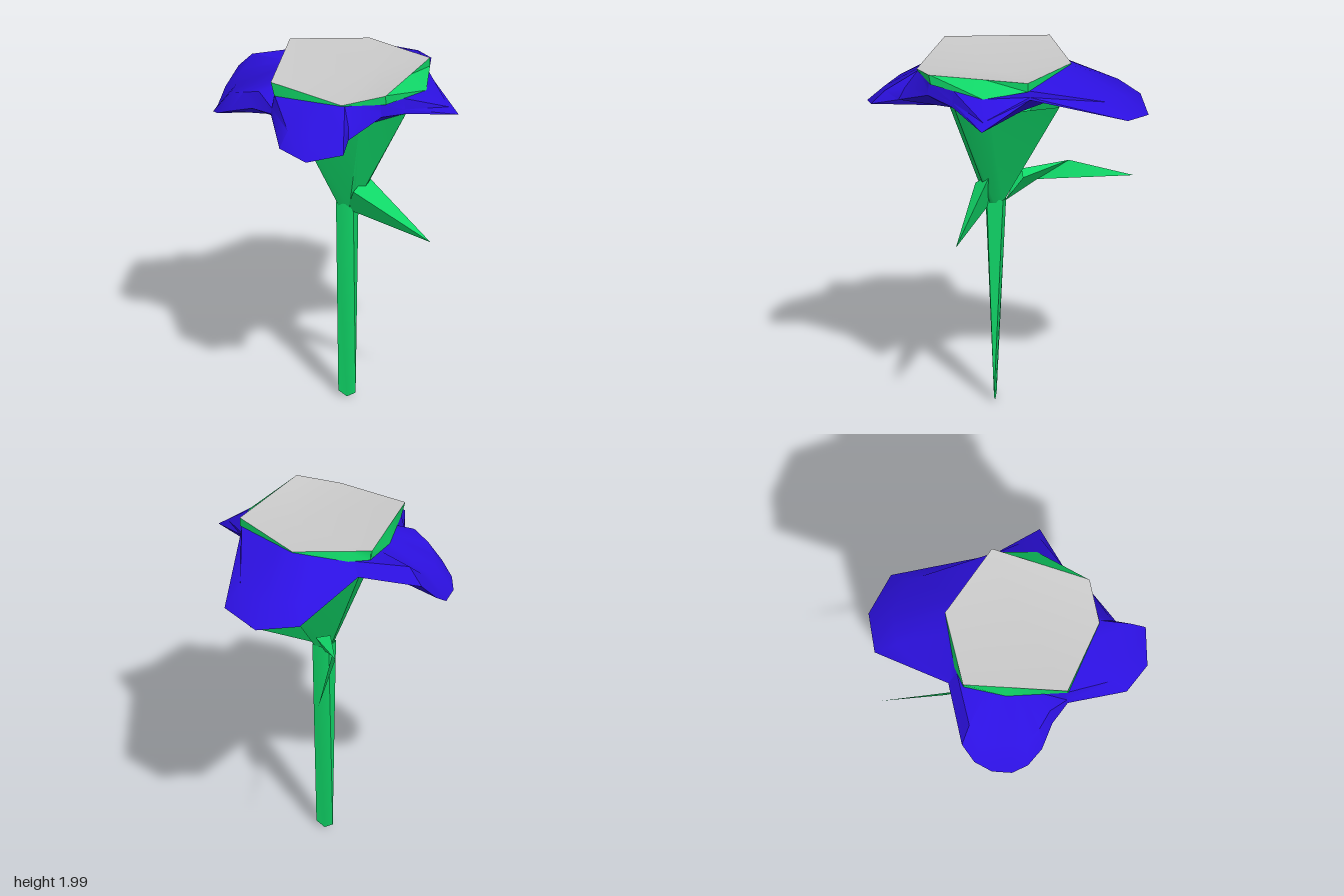
import * as THREE from 'three';
import { toCreasedNormals } from 'three/addons/utils/BufferGeometryUtils.js';

const CX = 0.05, CZ = 0.07; // flower axis
const GREEN = 0x10d868, BLUE = 0x2c10e0, GREY = 0xcccccc;

const angleOf = (p) => Math.atan2(p[2] - CZ, p[0] - CX);
const mix = (a, b, t) => a.map((v, i) => v + (b[i] - v) * t);

// Point of a closed ring at a given angle round the flower axis
function ringAt(ring, angle) {
  const dx = Math.cos(angle), dz = Math.sin(angle);
  for (let i = 0; i < ring.length; i++) {
    const a = ring[i], b = ring[(i + 1) % ring.length];
    const sa = dx * (a[2] - CZ) - dz * (a[0] - CX);
    const sb = dx * (b[2] - CZ) - dz * (b[0] - CX);
    if (sa > 1e-9 || sb < -1e-9 || sb - sa < 1e-9) continue;
    const p = mix(a, b, -sa / (sb - sa));
    if (dx * (p[0] - CX) + dz * (p[2] - CZ) > 0) return p;
  }
  return ring[0];
}

function makeMesh(name, points, index, color, crease = 0.7) {
  const g = new THREE.BufferGeometry();
  g.setAttribute('position', new THREE.Float32BufferAttribute(points.flat(), 3));
  g.setIndex(index);
  const mesh = new THREE.Mesh(
    toCreasedNormals(g, crease),
    new THREE.MeshStandardMaterial({ color, side: THREE.DoubleSide })
  );
  mesh.name = name;
  return mesh;
}

// Skin between rows of equal length, listed from the top down
function loft(name, rows, color, closed) {
  const n = rows[0].length, index = [];
  for (let r = 0; r < rows.length - 1; r++) {
    for (let i = 0; i < (closed ? n : n - 1); i++) {
      const j = (i + 1) % n, a = r * n + i, b = r * n + j;
      index.push(a, b, a + n, b, b + n, a + n);
    }
  }
  return makeMesh(name, rows.flat(), index, color);
}

// Rings run from +x towards +z
const rim = [
  [0.45, 2, -0.17], [0.38, 1.995, 0.39], [0.16, 1.95, 0.49],
  [-0.28, 1.99, 0.4], [-0.36, 2, -0.17], [0.04, 1.985, -0.35],
];
const budRing = [
  [0.51, 1.915, 0.07], [0.38, 1.94, 0.38], [0.16, 1.945, 0.49], [-0.26, 1.91, 0.4],
  [-0.35, 1.92, 0.07], [-0.35, 1.94, -0.17], [-0.25, 1.94, -0.24],
  [0.04, 1.98, -0.35], [0.45, 1.95, -0.17],
];
const calyxRing = [
  [0.45, 1.84, 0.24], [0.2, 1.75, 0.3], [-0.14, 1.68, 0.32],
  [-0.28, 1.83, -0.15], [0.28, 1.81, -0.32], [0.4, 1.79, 0.05],
];

// Petal outlines; neighbours share their end points
const notches = [[0.36, 1.87, 0.4], [-0.28, 1.8, 0.4], [-0.32, 1.87, -0.26], [0.44, 1.9, -0.18]];
const petals = [
  { name: 'frontPetal', lift: 0.02, from: 0, to: 1,
    edge: [[0.23, 1.79, 0.58], [0.25, 1.765, 0.73], [0.05, 1.715, 0.78], [-0.13, 1.74, 0.7]] },
  { name: 'rightPetal', lift: 0.06, from: 1, to: 2,
    edge: [[-0.41, 1.79, 0.34], [-0.55, 1.74, 0.31], [-0.64, 1.69, 0.25], [-0.69, 1.66, 0.17],
      [-0.7, 1.65, 0.06], [-0.69, 1.72, -0.04], [-0.64, 1.82, -0.12]] },
  { name: 'backPetal', lift: 0.025, from: 2, to: 3,
    edge: [[-0.18, 1.75, -0.7], [0.05, 1.71, -0.78], [0.28, 1.75, -0.7]] },
  { name: 'leftPetal', lift: 0, from: 3, to: 0,
    edge: [[0.69, 1.785, 0.05], [0.45, 1.84, 0.25]] },
];

export function createModel() {
  const flower = new THREE.Group();
  flower.name = 'flower';

  // Petals: upper face from the bud, over a fold, then the underside to the calyx
  for (const { name, lift, from, to, edge } of petals) {
    const outer = [notches[from], ...edge, notches[to]];
    const inner = outer.map((p) => ringAt(budRing, angleOf(p)));
    const under = outer.map((p) => ringAt(calyxRing, angleOf(p)));
    const fold = outer.map((p, i) => {
      const q = mix(inner[i], p, 0.7);
      if (i > 0 && i < outer.length - 1) q[1] += lift;
      return q;
    });
    flower.add(loft(name, [inner, fold, outer, under], BLUE, false));
  }

  // Green band round the bud, sampled at every corner of both rings
  const angles = [...rim, ...budRing].map(angleOf).sort((a, b) => a - b);
  flower.add(loft('budBand', [rim, budRing].map((r) => angles.map((a) => ringAt(r, a))), GREEN, true));

  // Shallow bud top, fanned round an off-centre point
  const fan = rim.flatMap((_, i) => [6, (i + 1) % 6, i]);
  flower.add(makeMesh('budTop', [...rim, [0.2, 1.965, -0.02]], fan, GREY, 0.5));

  // Calyx funnel
  const neck = calyxRing.map((p) => {
    const a = angleOf(p);
    return [CX + 0.055 * Math.cos(a), 1.17, CZ + 0.055 * Math.sin(a)];
  });
  flower.add(loft('calyx', [calyxRing, neck], GREEN, true));

  // Stem: constant width, thinning to a wedge with a pointed foot
  const section = [[0.1, 0.02], [0.1, 0.11], [0.05, 0.125], [0, 0.11], [0, 0.02], [0.05, 0.01]];
  flower.add(loft('stem', [
    section.map(([x, z]) => [x, 1.19, z]),
    section.map(([x]) => [x, x === 0.05 ? 0.01 : 0.04, CZ]),
  ], GREEN, true));

  // Leaves
  flower.add(makeMesh('leftLeaf',
    [[0.17, 1.36, 0.08], [0.12, 1.29, 0.17], [0.06, 1.15, 0.1], [0.58, 1.07, 0.21]],
    [0, 1, 3, 1, 2, 3, 2, 0, 3, 0, 2, 1], GREEN));
  flower.add(makeMesh('backLeaf',
    [[0.02, 1.16, 0.02], [-0.05, 1.325, -0.06], [-0.2, 1.335, -0.3], [-0.1, 1.25, -0.14],
      [-0.27, 1.24, -0.65], [0.03, 1.3, -0.08]],
    [0, 3, 1, 1, 3, 2, 2, 3, 4, 0, 5, 3, 5, 2, 3, 5, 1, 2, 3, 2, 4], GREEN));

  return flower;
}
